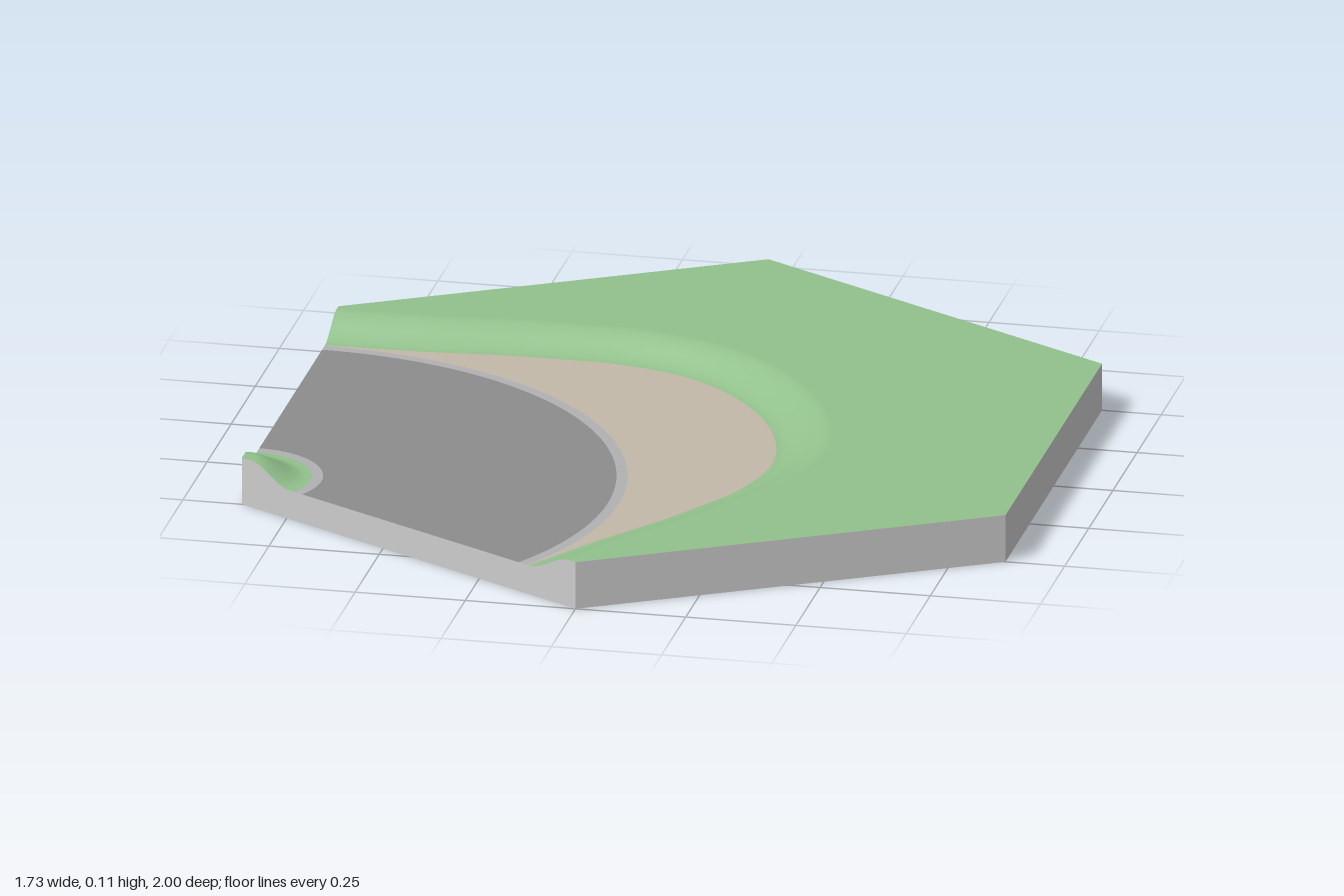
import * as THREE from 'three';

const TOP = 0.11, LOW = 0.068, SWEEP = Math.PI * 2 / 3, STEPS = 72;
const RIM = 0.12; // width of the outer bank
const corners = Array.from({ length: 6 }, (_, k) =>
  new THREE.Vector3(Math.sin(k * Math.PI / 3), 0, Math.cos(k * Math.PI / 3)));
const C = corners[5]; // the road bends around this corner

const mat = (color) => new THREE.MeshStandardMaterial({ color, roughness: 0.9 });
const grass = mat(0x92c18c), sand = mat(0xc2b9a8), road = mat(0x8c8c8c);
const kerb = mat(0xb1b1b3), stone = mat(0xcccccc);

const smooth = THREE.MathUtils.smoothstep;
const point = (t, r, y) => new THREE.Vector3(C.x + r * Math.sin(t), y, C.z - r * Math.cos(t));

// Outer edge of the sand: distance from the corner by angle, mirrored about the middle
const sandCurve = new THREE.SplineCurve(
  [[-15, 0.88], [0, 0.86], [15, 0.897], [29, 1.01], [37, 1.1], [47, 1.183], [60, 1.21],
    [73, 1.183], [83, 1.1], [91, 1.01], [105, 0.897], [120, 0.86], [135, 0.88]]
    .map(([a, r]) => new THREE.Vector2(a, r)));
const sandSamples = sandCurve.getPoints(240);
function sandEdge(t) {
  const a = t * 180 / Math.PI;
  const i = Math.max(1, sandSamples.findIndex((p) => p.x >= a));
  const p = sandSamples[i - 1], q = sandSamples[i];
  return p.y + (q.y - p.y) * (a - p.x) / (q.x - p.x);
}
// Keep the bank equally wide where its edge runs oblique to the radius
function bankTop(t) {
  const r = sandEdge(t), e = 0.03;
  const a = Math.max(0, t - e), b = Math.min(SWEEP, t + e);
  const slope = (sandEdge(b) - sandEdge(a)) / (b - a) / r;
  return r + RIM * Math.hypot(1, slope);
}

const innerHeight = (r) => TOP - (TOP - LOW) * smooth(r, 0.03, 0.14);
const bankHeight = (s) => LOW + (TOP - LOW) * smooth(s, 0, 1);

// Surface swept around the corner between two radii
function sweep(name, material, r0, r1, height, rows) {
  const pos = [], index = [];
  for (let i = 0; i <= STEPS; i++) {
    const t = SWEEP * i / STEPS, a = r0(t), b = r1(t);
    for (let j = 0; j <= rows; j++) {
      const s = j / rows, r = a + (b - a) * s;
      pos.push(...point(t, r, height(s, r)).toArray());
      if (i < STEPS && j < rows) {
        const p = i * (rows + 1) + j, q = p + rows + 1;
        index.push(p, q, p + 1, q, q + 1, p + 1);
      }
    }
  }
  const geo = new THREE.BufferGeometry();
  geo.setAttribute('position', new THREE.Float32BufferAttribute(pos, 3));
  geo.setIndex(index);
  geo.computeVertexNormals();
  const mesh = new THREE.Mesh(geo, material);
  mesh.name = name;
  return mesh;
}

// Upright side from one corner to the next, with its upper outline as [distance, height]
function wall(k, outline) {
  const p = corners[k], q = corners[(k + 1) % 6];
  const shape = new THREE.Shape([new THREE.Vector2(0, 0), new THREE.Vector2(1, 0),
    ...outline.map(([d, y]) => new THREE.Vector2(d, y)).reverse()]);
  const dir = q.clone().sub(p).normalize(), up = new THREE.Vector3(0, 1, 0);
  const m = new THREE.Matrix4().makeBasis(dir, up, dir.clone().cross(up)).setPosition(p);
  const mesh = new THREE.Mesh(new THREE.ShapeGeometry(shape).applyMatrix4(m), stone);
  mesh.name = 'sideWall' + k;
  return mesh;
}

export function createModel() {
  const group = new THREE.Group();
  group.name = 'curvedRoadTile';
  const at = (r) => () => r;
  const flat = () => LOW;

  // Bands from the corner outwards
  group.add(
    sweep('cornerMound', grass, at(0), at(0.155), (s, r) => innerHeight(r), 16),
    sweep('innerKerb', kerb, at(0.155), at(0.18), flat, 1),
    sweep('roadSurface', road, at(0.18), at(0.83), flat, 1),
    sweep('outerKerb', kerb, at(0.83), at(0.855), flat, 1),
    sweep('sandVerge', sand, at(0.855), sandEdge, flat, 1),
    sweep('grassBank', grass, sandEdge, bankTop, bankHeight, 16));

  // Flat grass filling the rest of the hexagon
  const edge = [];
  for (let i = 0; i <= STEPS; i++) {
    const t = SWEEP * i / STEPS;
    edge.push(point(t, bankTop(t), 0));
  }
  const outline = [...edge, ...corners.slice(0, 5)].map((p) => new THREE.Vector2(p.x, -p.z));
  const field = new THREE.Mesh(new THREE.ShapeGeometry(new THREE.Shape(outline)), grass);
  field.geometry.rotateX(-Math.PI / 2).translate(0, TOP, 0);
  field.name = 'grassField';
  group.add(field);

  // Four plain sides, and two cut by the road profile
  for (let k = 0; k < 4; k++) group.add(wall(k, [[0, TOP], [1, TOP]]));
  const profile = [[0, TOP]];
  const start = sandEdge(0), end = bankTop(0);
  for (let j = 0; j <= 12; j++) {
    const r = 0.03 + 0.11 * j / 12;
    profile.push([r, innerHeight(r)]);
  }
  for (let j = 0; j <= 12; j++) profile.push([start + (end - start) * j / 12, bankHeight(j / 12)]);
  profile.push([1, TOP]);
  group.add(wall(5, profile), wall(4, profile.map(([d, y]) => [1 - d, y]).reverse()));

  // Underside
  const base = new THREE.Mesh(new THREE.CircleGeometry(1, 6, Math.PI / 2), stone);
  base.geometry.rotateX(Math.PI / 2);
  base.name = 'underside';
  group.add(base);
  return group;
}
